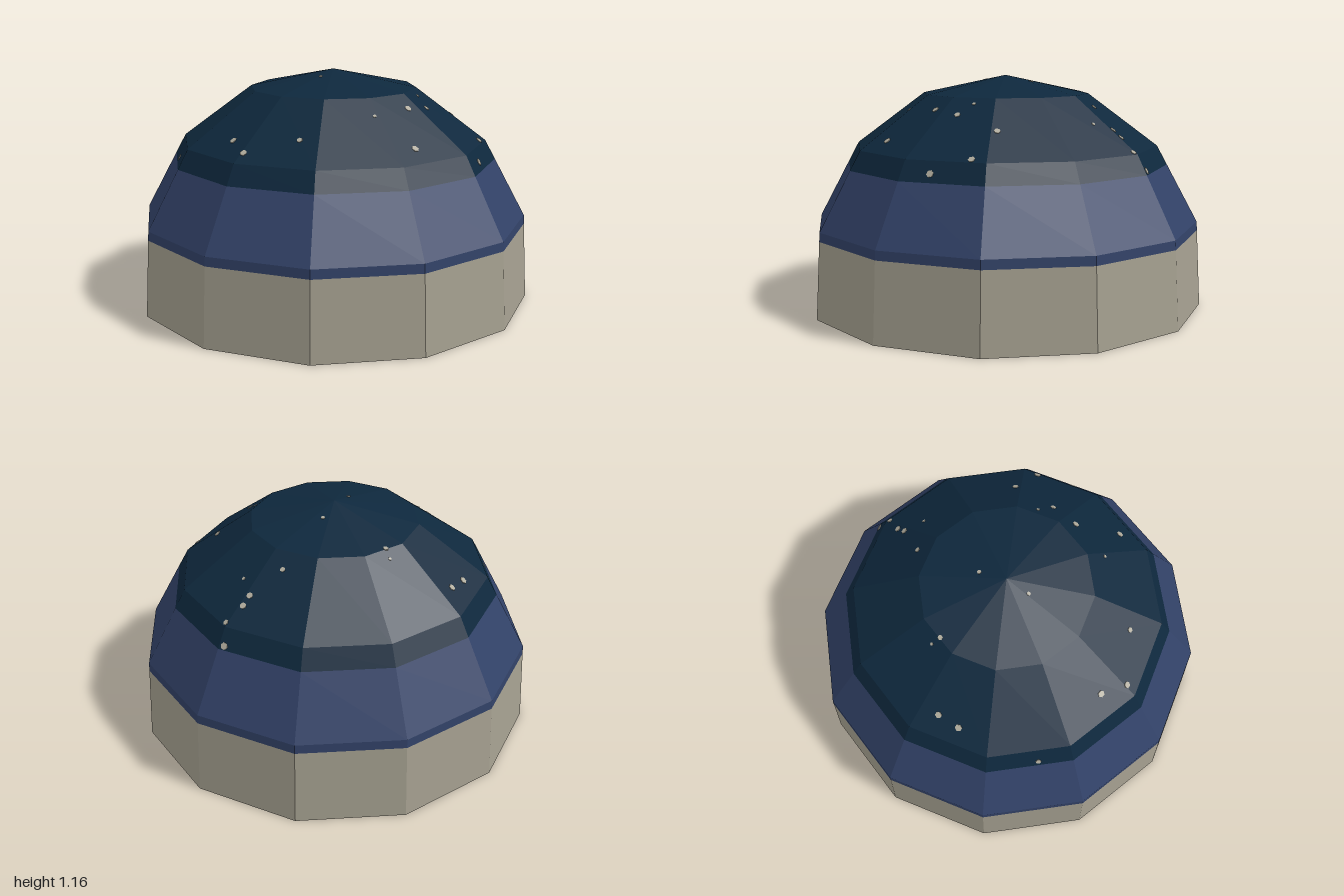
import * as THREE from 'three';

const SIDES = 12;
const STEP = (Math.PI * 2) / SIDES;

// Dome profile from rim to apex: [corner radius, height]
const PROFILE = [[1, 0], [0.975, 0.43], [0.767, 0.815], [0.418, 1.075], [0, 1.165]];

// Corner radius of the dome at a given height
function radiusAt(y) {
  for (let i = 0; i < PROFILE.length - 1; i++) {
    const [r0, y0] = PROFILE[i], [r1, y1] = PROFILE[i + 1];
    if (y <= y1) return r0 + ((r1 - r0) * (y - y0)) / (y1 - y0);
  }
  return 0;
}

// Point and outward normal of the facet above (x, z)
function surfaceAt(x, z) {
  const mid = (Math.floor(Math.atan2(x, z) / STEP) + 0.5) * STEP;
  const c = Math.cos(STEP / 2);
  const r = (x * Math.sin(mid) + z * Math.cos(mid)) / c;
  let i = 0;
  while (i < PROFILE.length - 2 && r < PROFILE[i + 1][0]) i++;
  const [r0, y0] = PROFILE[i], [r1, y1] = PROFILE[i + 1];
  const y = y0 + ((y1 - y0) * (r - r0)) / (r1 - r0);
  const out = y1 - y0;
  const normal = new THREE.Vector3(out * Math.sin(mid), (r0 - r1) * c, out * Math.cos(mid)).normalize();
  return { point: new THREE.Vector3(x, y, z), normal };
}

function material(name, color) {
  return new THREE.MeshStandardMaterial({ name, color, flatShading: true, side: THREE.DoubleSide });
}

export function createModel() {
  const group = new THREE.Group();
  group.name = 'starDome';
  const stone = material('warm grey', 0xa5a090);
  const blue = material('dusk blue', 0x324268);
  const navy = material('night navy', 0x0e283d);
  const starColor = material('pale star', 0xb0ab9c);

  // Open shell in three colour bands
  function band(name, from, to, mat) {
    const points = [
      [radiusAt(from), from],
      ...PROFILE.filter(([, y]) => y > from && y < to),
      [radiusAt(to), to],
    ].map(([r, y]) => new THREE.Vector2(r, y));
    const mesh = new THREE.Mesh(new THREE.LatheGeometry(points, SIDES), mat);
    mesh.name = name;
    group.add(mesh);
  }
  band('baseBand', 0, 0.385, stone);
  band('middleBand', 0.385, 0.72, blue);
  band('skyCap', 0.72, 1.165, navy);

  // Small stars, thin plates seen from both sides of the shell: [x, z, radius]
  const stars = [
    [-0.2, -0.64, 0.018], [-0.09, -0.65, 0.017], [-0.58, -0.52, 0.014], [0.09, -0.39, 0.013],
    [0.11, -0.43, 0.008], [-0.64, -0.11, 0.017], [-0.71, 0.01, 0.017], [0.13, -0.04, 0.011],
    [-0.12, 0.01, 0.01], [0.47, -0.09, 0.013], [0.62, -0.02, 0.016], [0.665, -0.02, 0.016],
    [0.75, 0.01, 0.014], [0.802, -0.025, 0.018], [0.565, 0.07, 0.009], [-0.57, 0.225, 0.014],
    [-0.27, 0.43, 0.009], [-0.06, 0.48, 0.017], [0.085, 0.495, 0.015], [0.125, 0.42, 0.009],
    [0.32, 0.5, 0.016], [-0.235, 0.63, 0.018], [0.305, 0.67, 0.017], [0.14, 0.76, 0.018],
  ];
  const up = new THREE.Vector3(0, 1, 0);
  const plate = new THREE.CylinderGeometry(1, 1, 0.006, 6);
  const starGroup = new THREE.Group();
  starGroup.name = 'stars';
  for (const [x, z, size] of stars) {
    const { point, normal } = surfaceAt(x, z);
    const star = new THREE.Mesh(plate, starColor);
    star.name = 'star';
    star.scale.set(size, 1, size);
    star.position.copy(point);
    star.quaternion.setFromUnitVectors(up, normal);
    starGroup.add(star);
  }
  group.add(starGroup);
  return group;
}
